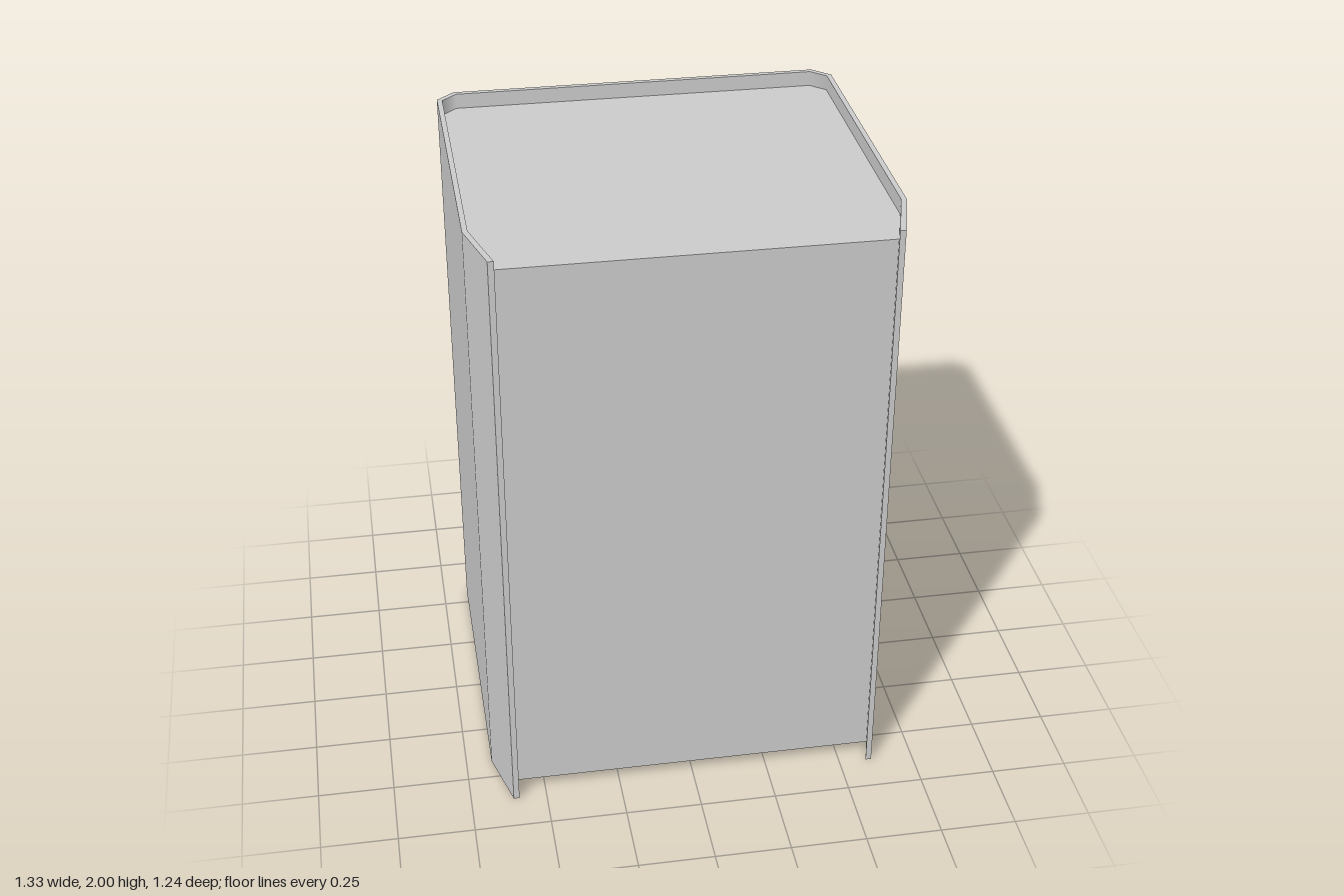
import * as THREE from 'three';

// Right half of each plan outline as [x, z], running from front to back
const OUTER = [[0.61, 0.62], [0.665, 0.42], [0.665, -0.565], [0.607, -0.62]];
const INNER = [[0.591, 0.62], [0.648, 0.415], [0.648, -0.556], [0.6, -0.602]];
const CORE = [[0.603, 0.575], ...INNER.slice(1)];

// Full path from front right, round the back, to front left
const mirrored = (half) => [...half, ...half.map(([x, z]) => [-x, z]).reverse()];

// Raise a plan outline between two heights
function raise(points, bottom, top) {
  const shape = new THREE.Shape(points.map(([x, z]) => new THREE.Vector2(x, -z)));
  const geometry = new THREE.ExtrudeGeometry(shape, { depth: top - bottom, bevelEnabled: false });
  geometry.rotateX(-Math.PI / 2).translate(0, bottom, 0);
  return geometry;
}

// Blend the shading across the rear corner facets into the flat walls
function smoothCorners(geometry) {
  const p = geometry.attributes.position, n = geometry.attributes.normal;
  for (let i = 0; i < p.count; i++) {
    const nx = n.getX(i), nz = n.getZ(i);
    if (Math.min(Math.abs(nx), Math.abs(nz)) < 0.5) continue;
    if (Math.abs(p.getX(i)) > 0.63) n.setXYZ(i, Math.sign(nx), 0, 0);
    else n.setXYZ(i, 0, 0, Math.sign(nz));
  }
  return geometry;
}

export function createModel() {
  const group = new THREE.Group();
  group.name = 'cabinet';
  const material = new THREE.MeshStandardMaterial({ color: 0xcccccc });

  // Thin wrap-around shell, open at the front with inward-bent flanges
  const outline = [...mirrored(OUTER), ...mirrored(INNER).reverse()];
  const shell = new THREE.Mesh(smoothCorners(raise(outline, 0, 2)), material);
  shell.name = 'outerShell';

  // Solid body recessed inside the shell
  const body = new THREE.Mesh(raise(mirrored(CORE), 0.04, 1.95), material);
  body.name = 'innerBody';

  group.add(shell, body);
  return group;
}
